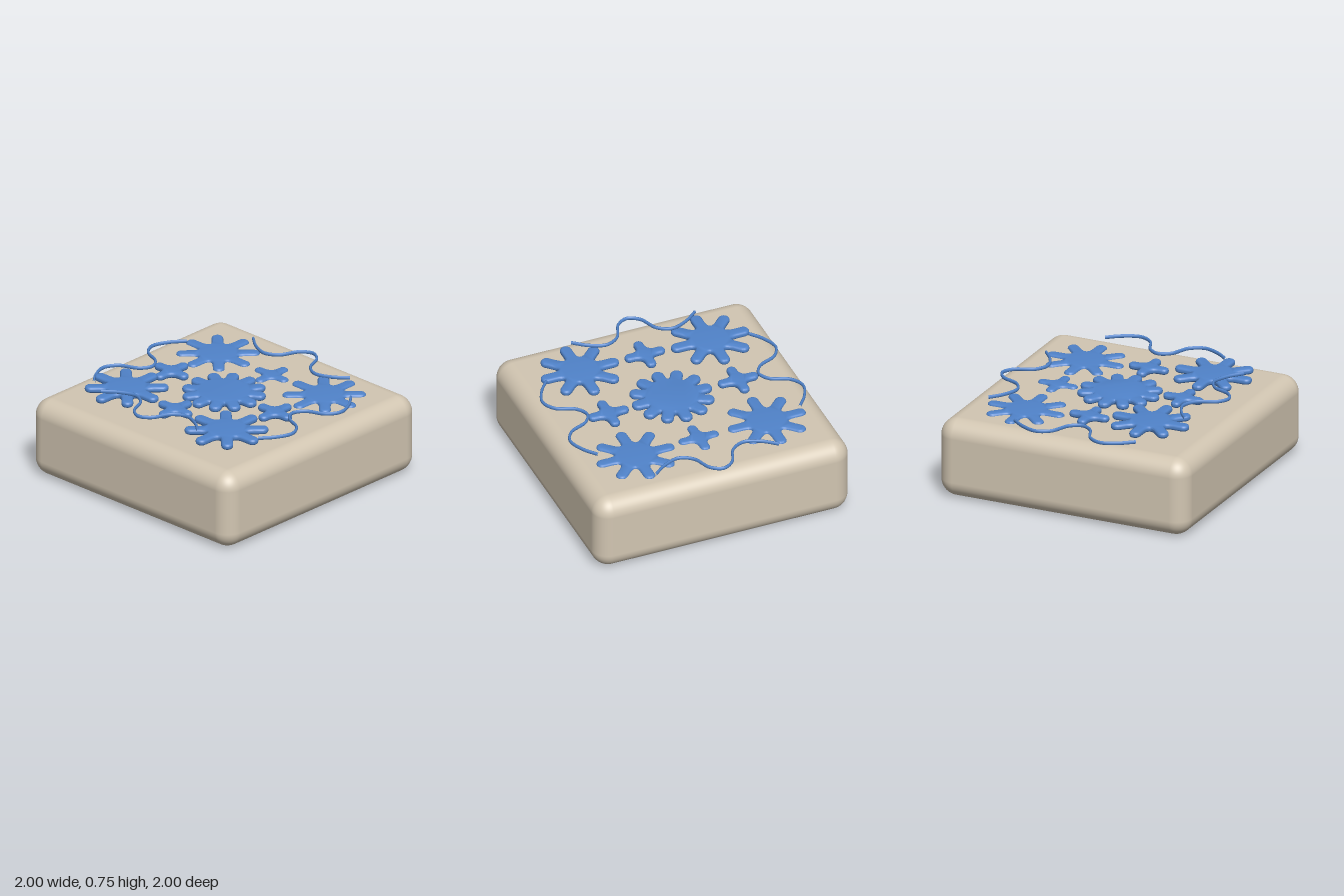
import * as THREE from 'three';
import { toCreasedNormals } from 'three/addons/utils/BufferGeometryUtils.js';
import { RoundedBoxGeometry } from 'three/addons/geometries/RoundedBoxGeometry.js';

const stone = new THREE.MeshStandardMaterial({ color: 0xd2c6b2 });
const blue = new THREE.MeshStandardMaterial({ color: 0x5083ca });

// Flat ornament with n round-ended petals: tip radius, petal half-width, radius where the notch begins
function petalGeometry(n, radius, w, notchStart) {
  const shape = new THREE.Shape();
  const step = (Math.PI * 2) / n;
  const polar = (a, along, side) => [
    Math.cos(a) * along - Math.sin(a) * side,
    Math.sin(a) * along + Math.cos(a) * side,
  ];
  shape.moveTo(...polar(0, notchStart, -w));
  for (let i = 0; i < n; i++) {
    const a = i * step;
    shape.lineTo(...polar(a, radius - w, -w));
    shape.absarc(...polar(a, radius - w, 0), w, a - Math.PI / 2, a + Math.PI / 2, false);
    shape.lineTo(...polar(a, notchStart, w));
    shape.quadraticCurveTo(
      ...polar(a + step / 2, w / Math.sin(step / 2), 0),
      ...polar(a + step, notchStart, -w)
    );
  }
  const geometry = new THREE.ExtrudeGeometry(shape, {
    depth: 0.007, bevelThickness: 0.019, bevelSize: 0.019, bevelOffset: -0.019,
    bevelSegments: 4, curveSegments: 8,
  });
  geometry.translate(0, 0, -0.0035);
  geometry.rotateX(-Math.PI / 2);
  return toCreasedNormals(geometry, 0.7);
}

// Wavy vine running along x, with its three crests across z
function vineGeometry() {
  const points = [
    [-0.485, 0], [-0.38, 0.08], [-0.255, 0.123], [-0.155, 0.07], [-0.085, -0.07], [0, -0.117],
    [0.085, -0.07], [0.155, 0.07], [0.255, 0.123], [0.38, 0.08], [0.485, 0],
  ].map(([x, z]) => new THREE.Vector3(x, 0, z));
  const geometry = new THREE.TubeGeometry(new THREE.CatmullRomCurve3(points), 120, 0.01, 10);
  geometry.scale(1, 1.4, 1);
  return geometry;
}

export function createModel() {
  const group = new THREE.Group();
  const add = (name, geometry, material, x, y, z, turn = 0) => {
    const mesh = new THREE.Mesh(geometry, material);
    mesh.name = name;
    mesh.position.set(x, y, z);
    mesh.rotation.y = turn;
    group.add(mesh);
  };

  // Soft-edged block
  add('block', new RoundedBoxGeometry(2, 0.597, 2, 8, 0.13), stone, 0, 0.2985, 0);

  // Centre rosette
  add('centreRosette', petalGeometry(12, 0.31, 0.046, 0.235), blue, 0, 0.63, 0);

  // Corner flowers
  const flower = petalGeometry(8, 0.303, 0.043, 0.2);
  add('backRightFlower', flower, blue, -0.535, 0.592, -0.495);
  add('backLeftFlower', flower, blue, 0.505, 0.592, -0.52);
  add('frontRightFlower', flower, blue, -0.505, 0.667, 0.49);
  add('frontLeftFlower', flower, blue, 0.51, 0.667, 0.505);

  // Small four-petal flowers between the corners
  const small = petalGeometry(4, 0.156, 0.037, 0.095);
  add('backSmallFlower', small, blue, 0, 0.592, -0.497);
  add('frontSmallFlower', small, blue, 0, 0.667, 0.507);
  add('rightSmallFlower', small, blue, -0.52, 0.63, 0.005);
  add('leftSmallFlower', small, blue, 0.502, 0.63, -0.01);

  // Border vines, one along each side
  const vine = vineGeometry();
  add('backVine', vine, blue, -0.01, 0.623, -0.82);
  add('frontVine', vine, blue, -0.015, 0.735, 0.763, Math.PI);
  add('rightVine', vine, blue, -0.81, 0.623, 0.03, -Math.PI / 2);
  add('leftVine', vine, blue, 0.79, 0.68, -0.017, Math.PI / 2);

  return group;
}
